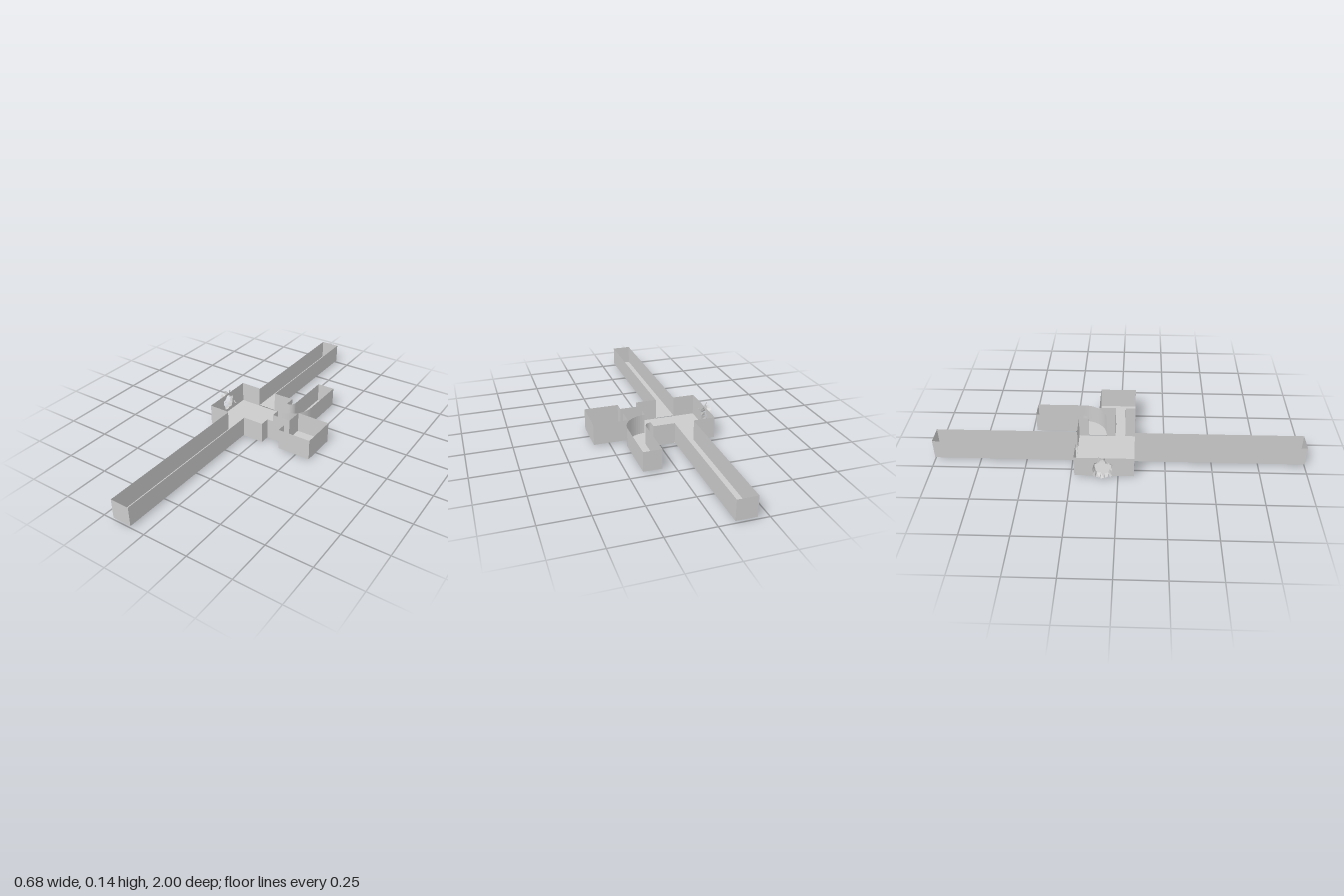
import * as THREE from 'three';

const material = new THREE.MeshStandardMaterial({ color: 0xcccccc, side: THREE.DoubleSide, flatShading: true });
const ROOM = [0.01, 0.128];       // floor and wall-top heights of rooms
const CORRIDOR = [0.014, 0.124];  // the same for corridors

function add(parent, name, geometry) {
  const mesh = new THREE.Mesh(geometry, material);
  mesh.name = name;
  parent.add(mesh);
  return mesh;
}

// Thin upright wall along a path of [x, z] points
function wall(parent, name, path, [y0, y1]) {
  const pos = [], index = [];
  path.forEach(([x, z], i) => {
    pos.push(x, y0, z, x, y1, z);
    const a = i * 2;
    if (i) index.push(a - 2, a, a - 1, a - 1, a, a + 1);
  });
  const g = new THREE.BufferGeometry();
  g.setAttribute('position', new THREE.Float32BufferAttribute(pos, 3));
  g.setIndex(index);
  g.computeVertexNormals();
  return add(parent, name, g);
}

// Flat floor bounded by [x, z] points
function floor(parent, name, path, y) {
  const g = new THREE.ShapeGeometry(new THREE.Shape(path.map(([x, z]) => new THREE.Vector2(x, -z))));
  g.rotateX(-Math.PI / 2);
  g.translate(0, y, 0);
  return add(parent, name, g);
}

const rect = (x0, x1, z0, z1) => [[x0, z0], [x0, z1], [x1, z1], [x1, z0]];

function section(root, name) {
  const group = new THREE.Group();
  group.name = name;
  root.add(group);
  return group;
}

export function createModel() {
  const root = new THREE.Group();
  root.name = 'corridorComplex';

  const hx0 = -0.307, hx1 = 0.04, hz0 = -0.23, hz1 = 0.085; // hall
  const cx0 = -0.187, cx1 = -0.08;                          // long corridor
  const dz0 = -0.025, dz1 = 0.03;                           // doorway passage
  const rx0 = 0.147, rx1 = 0.337, rz0 = -0.12;              // side room
  const bendZ = -0.21, rIn = 0.035, rOut = 0.135;           // curved corridor

  // Main hall, with openings for each corridor
  const hall = section(root, 'mainHall');
  floor(hall, 'hallFloor', rect(hx0, hx1, hz0, hz1), ROOM[0]);
  wall(hall, 'hallBackLeftCorner', [[cx1, hz0], [hx1, hz0], [hx1, bendZ + rIn]], ROOM);
  wall(hall, 'hallSidePier', [[hx1, bendZ + rOut], [hx1, dz0]], ROOM);
  wall(hall, 'hallFrontLeftCorner', [[hx1, dz1], [hx1, hz1], [cx1, hz1]], ROOM);
  wall(hall, 'hallFrontRightWall', [[cx0, hz1], [hx0, hz1]], ROOM);
  wall(hall, 'hallBackRightWall', [[hx0, hz0], [cx0, hz0]], ROOM);

  // Long corridor, one arm to the front and one to the back
  for (const [name, from, to] of [['frontCorridor', hz1, 1], ['backCorridor', hz0, -1]]) {
    const arm = section(root, name);
    floor(arm, 'corridorFloor', rect(cx0, cx1, Math.min(from, to), Math.max(from, to)), CORRIDOR[0]);
    wall(arm, 'corridorWalls', [[cx0, from], [cx0, to], [cx1, to], [cx1, from]], CORRIDOR);
  }

  // Passage and side room
  const side = section(root, 'sideRoom');
  floor(side, 'passageFloor', rect(hx1, rx0, dz0, dz1), ROOM[0]);
  floor(side, 'sideRoomFloor', rect(rx0, rx1, rz0, hz1), ROOM[0]);
  wall(side, 'sideRoomWalls', [[hx1, dz0], [rx0, dz0], [rx0, rz0], [rx1, rz0],
    [rx1, hz1], [rx0, hz1], [rx0, dz1], [hx1, dz1]], ROOM);

  // Curved corridor: quarter bend, then a straight run to a closed end
  const curved = section(root, 'curvedCorridor');
  const arc = (r) => Array.from({ length: 17 }, (_, i) => {
    const a = (i / 16) * Math.PI / 2;
    return [hx1 + r * Math.sin(a), bendZ + r * Math.cos(a)];
  });
  const outline = [...arc(rOut), [hx1 + rOut, -0.475], [hx1 + rIn, -0.475], ...arc(rIn).reverse()];
  floor(curved, 'curvedFloor', outline, CORRIDOR[0]);
  wall(curved, 'curvedWalls', outline, CORRIDOR);

  // Breached wall with a ragged round hole
  const breach = section(root, 'breachedWall');
  const hz = -0.08, hy = 0.07, n = 14;
  const ragged = (i) => 0.044 + 0.006 * Math.sin(i * 2.3);
  const rim = (i, r) => {
    const a = (i / n) * Math.PI * 2;
    return [hz + r * Math.cos(a), hy + r * Math.sin(a)];
  };
  const panel = new THREE.Shape(rect(hz0, hz1, ROOM[0], ROOM[1]).map((p) => new THREE.Vector2(...p)));
  panel.holes.push(new THREE.Path(Array.from({ length: n }, (_, i) => new THREE.Vector2(...rim(i, ragged(i))))));
  const panelGeometry = new THREE.ShapeGeometry(panel).rotateY(-Math.PI / 2);
  add(breach, 'breachedPanel', panelGeometry).position.x = hx0;

  // Torn plates flaring outward around the hole
  for (let i = 0; i < n; i++) {
    const flare = 0.053 + 0.004 * Math.sin(i * 1.7);
    const depth = 0.029 + 0.004 * Math.cos(i * 3.1);
    const [z0, y0] = rim(i, ragged(i)), [z1, y1] = rim(i + 1, ragged((i + 1) % n));
    const [z2, y2] = rim(i + 0.85, flare), [z3, y3] = rim(i + 0.1, flare + 0.003);
    const g = new THREE.BufferGeometry();
    g.setAttribute('position', new THREE.Float32BufferAttribute(
      [hx0, y0, z0, hx0, y1, z1, hx0 - depth, y2, z2, hx0 - depth, y3, z3], 3));
    g.setIndex([0, 1, 2, 0, 2, 3]);
    g.computeVertexNormals();
    add(breach, 'tornPlate', g);
  }

  // Loose splinters: x, y, z, length, tilt
  const splinters = [[-0.318, 0.132, -0.07, 0.028, 0.5], [-0.311, 0.13, -0.1, 0.022, -0.1],
    [-0.3, 0.007, -0.06, 0.022, 1.2], [-0.288, 0.009, -0.11, 0.018, 1.4],
    [-0.297, 0.05, -0.13, 0.02, 0.9], [-0.297, 0.09, -0.04, 0.02, -0.8]];
  for (const [x, y, z, length, tilt] of splinters) {
    const s = add(breach, 'splinter', new THREE.BoxGeometry(0.003, length, 0.006));
    s.position.set(x, y, z);
    s.rotation.z = tilt;
  }
  return root;
}
